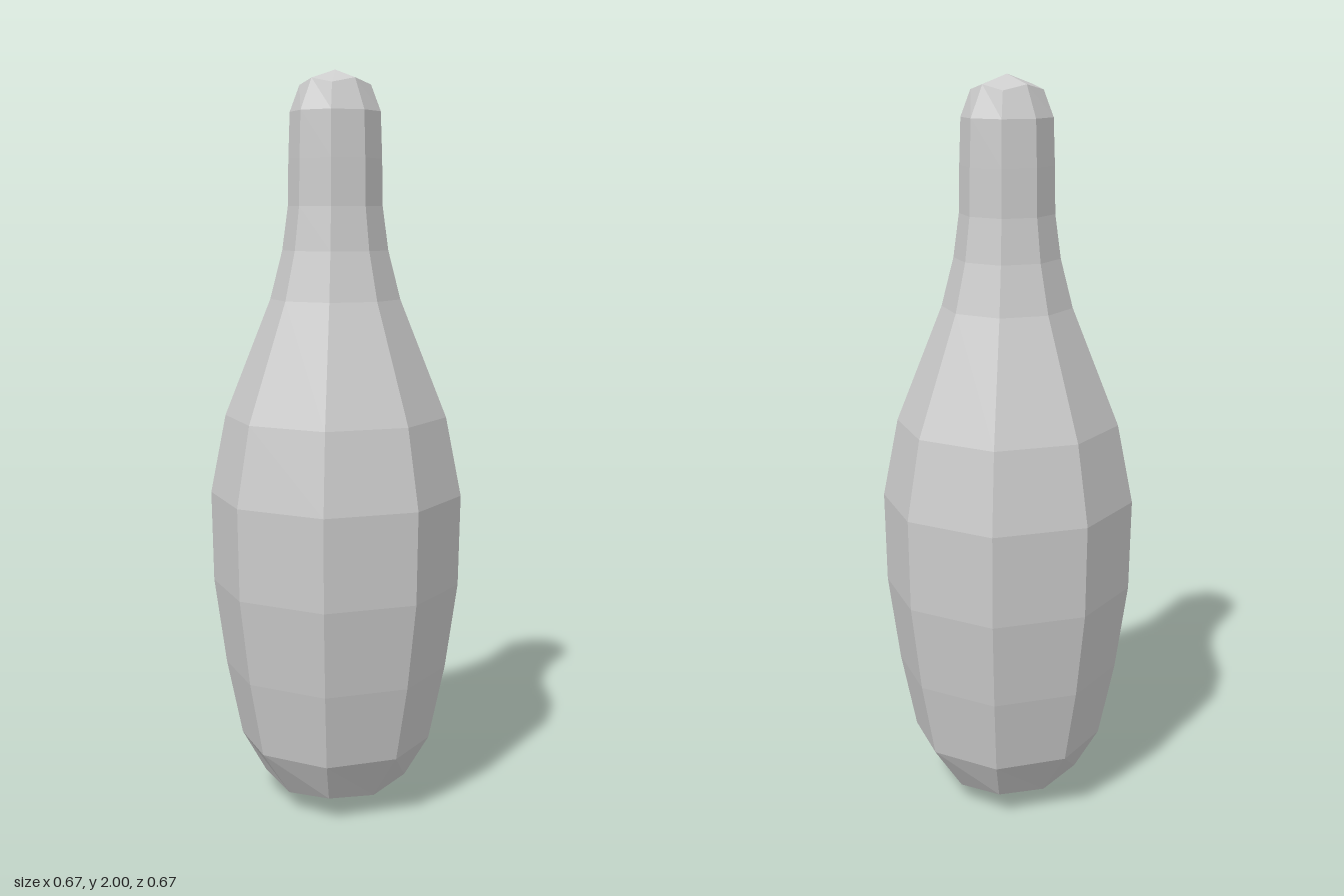
import * as THREE from 'three';

// Rings from bottom to top: radius and height at the axis corners,
// then the widening and height shift of the diagonal corners.
const RINGS = [
  [0, 0, 1, 0],
  [0.164, 0.051, 1.19, 0.018],
  [0.254, 0.18, 1.03, 0],
  [0.296, 0.386, 1.03, 0],
  [0.328, 0.62, 1.03, 0],
  [0.333, 0.868, 1.03, 0],
  [0.292, 1.083, 1.03, 0],
  [0.17, 1.4, 1.03, 0],
  [0.138, 1.53, 1.03, 0],
  [0.123, 1.646, 1.03, 0],
  [0.121, 1.77, 1.03, 0],
  [0.117, 1.892, 1.03, 0],
  [0.08, 1.975, 1.18, -0.014],
  [0, 2, 1, 0],
];
const SIDES = 8;

function pinGeometry() {
  const profile = RINGS.map(([r, y]) => new THREE.Vector2(r, y));
  const geometry = new THREE.LatheGeometry(profile, SIDES);
  const pos = geometry.attributes.position;
  // Push out every second column of corners to give the squarish octagon
  for (let i = 0; i < pos.count; i++) {
    const column = Math.floor(i / RINGS.length);
    if (column % 2 === 0) continue;
    const [, , widen, lift] = RINGS[i % RINGS.length];
    pos.setXYZ(i, pos.getX(i) * widen, pos.getY(i) + lift, pos.getZ(i) * widen);
  }
  geometry.computeVertexNormals();
  return geometry;
}

export function createModel() {
  const group = new THREE.Group();
  group.name = 'bowlingPin';

  // Single faceted body with rounded base, belly, neck and head
  const body = new THREE.Mesh(
    pinGeometry(),
    new THREE.MeshStandardMaterial({ color: 0xcccccc, flatShading: true })
  );
  body.name = 'pinBody';
  group.add(body);
  return group;
}
